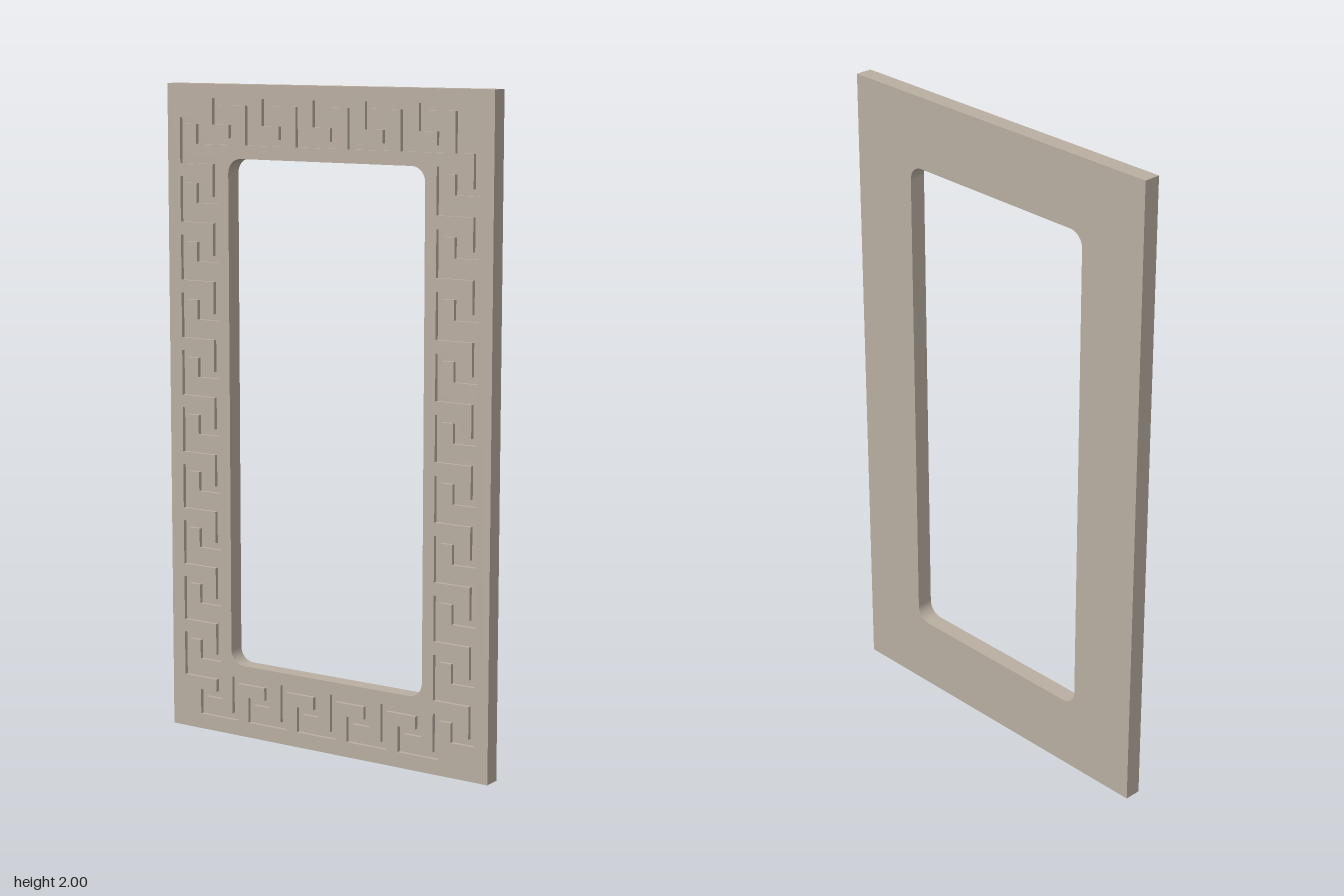
import * as THREE from 'three';

const W = 1.14, H = 2, T = 0.052, GROOVE_DEPTH = 0.012, GROOVE_WIDTH = 0.02;

// Rounded window opening
function windowPath() {
  const p = new THREE.Path(), x = 0.345, y0 = 0.225, y1 = 1.78, r = 0.045;
  p.absarc(x - r, y0 + r, r, -Math.PI / 2, 0);
  p.absarc(x - r, y1 - r, r, 0, Math.PI / 2);
  p.absarc(-x + r, y1 - r, r, Math.PI / 2, Math.PI);
  p.absarc(-x + r, y0 + r, r, Math.PI, Math.PI * 1.5);
  p.closePath();
  return p;
}

function outerRect() {
  return new THREE.Shape([[-1, 0], [1, 0], [1, 1], [-1, 1]]
    .map(([x, y]) => new THREE.Vector2(x * W / 2, y * H)));
}

// Centre line of the meander: one closed loop on a 17 x 32 grid, counter-clockwise
function meanderLine() {
  const g = [];
  for (let l = 29; l >= 2; l -= 3) // left side, downwards
    g.push([2, l + 1], [1, l + 1], [1, l + 2], [0, l + 2], [0, l], [2, l]);
  for (let u = 1; u <= 13; u += 3) // bottom, rightwards
    g.push([u + 1, 2], [u + 1, 1], [u, 1], [u, 0], [u + 2, 0], [u + 2, 2]);
  for (let l = 3; l <= 30; l += 3) // right side, upwards
    g.push([15, l - 1], [16, l - 1], [16, l - 2], [17, l - 2], [17, l], [l === 30 ? 16 : 15, l]);
  for (let u = 14; u >= 2; u -= 3) // top, leftwards
    g.push([u + 2, 30], [u + 2, 32], [u, 32], [u, 31], [u + 1, 31], [u + 1, 30]);
  return g
    .filter((p, i) => { const q = g[(i + 1) % g.length]; return p[0] !== q[0] || p[1] !== q[1]; })
    .map(([i, j]) => new THREE.Vector2((i - 8.5) * 0.0605, 0.057 + j * 0.0591));
}

// Mitred parallel of a closed line; positive distance goes outwards
function offset(line, d) {
  const n = line.length;
  const normal = (a, b) => {
    const v = b.clone().sub(a).normalize();
    return new THREE.Vector2(v.y, -v.x);
  };
  return line.map((p, i) => {
    const n1 = normal(line[(i + n - 1) % n], p), n2 = normal(p, line[(i + 1) % n]);
    return p.clone().addScaledVector(n1.clone().add(n2), d / (1 + n1.dot(n2)));
  });
}

export function createModel() {
  const model = new THREE.Group();
  model.name = 'meanderFrame';
  const material = new THREE.MeshStandardMaterial({ color: 0xb9aea1 });

  const addSlab = (name, shape, z, depth) => {
    const geo = new THREE.ExtrudeGeometry(shape, { depth, bevelEnabled: false, curveSegments: 8 });
    const mesh = new THREE.Mesh(geo, material);
    mesh.name = name;
    mesh.position.z = z;
    model.add(mesh);
  };

  // Base plate, whose front is the floor of the groove
  const base = outerRect();
  base.holes.push(windowPath());
  addSlab('basePlate', base, -T / 2, T - GROOVE_DEPTH);

  // Front layer, split in two by the meander groove
  const line = meanderLine();
  const border = outerRect();
  border.holes.push(new THREE.Path(offset(line, GROOVE_WIDTH / 2)));
  addSlab('outerFace', border, T / 2 - GROOVE_DEPTH, GROOVE_DEPTH);

  const inner = new THREE.Shape(offset(line, -GROOVE_WIDTH / 2));
  inner.holes.push(windowPath());
  addSlab('innerFace', inner, T / 2 - GROOVE_DEPTH, GROOVE_DEPTH);

  return model;
}
